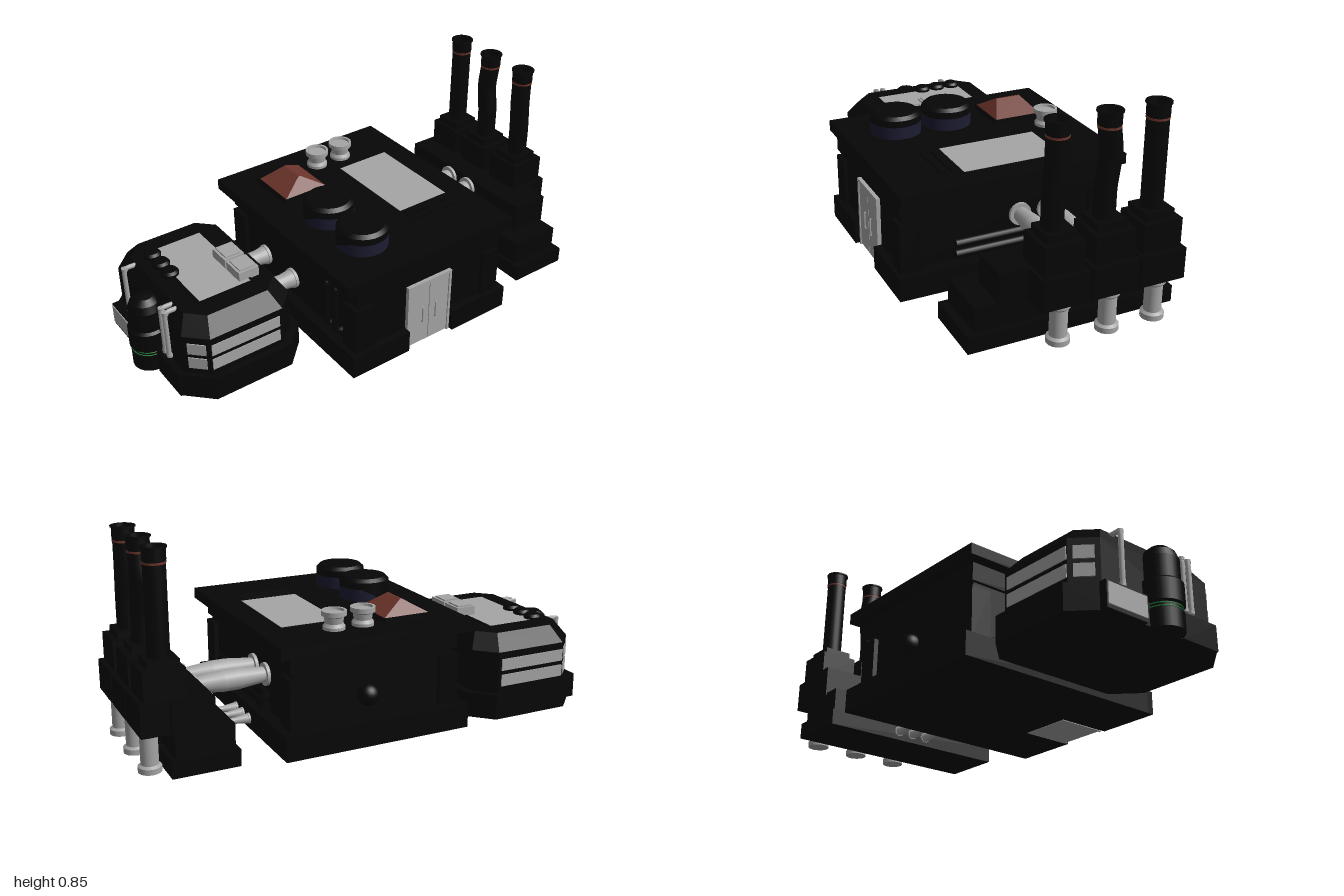
import * as THREE from 'three';

const mat = (name, color, side = THREE.FrontSide) => {
  const m = new THREE.MeshStandardMaterial({ color, side });
  m.name = name;
  return m;
};

export function createModel() {
  const black = mat('soot black', 0x060606);
  const grey = mat('light metal', 0xa5a5a5);
  const rust = mat('rust red', 0x6e352b);
  const navy = mat('dark navy', 0x1c1c32, THREE.DoubleSide);
  const green = mat('glow green', 0x1f8a3c);

  const root = new THREE.Group();
  const group = (name) => {
    const g = new THREE.Group();
    g.name = name;
    root.add(g);
    return g;
  };
  const add = (parent, name, geo, m, x = 0, y = 0, z = 0) => {
    const mesh = new THREE.Mesh(geo, m);
    mesh.name = name;
    mesh.position.set(x, y, z);
    parent.add(mesh);
    return mesh;
  };
  // Box given by its limits on each axis
  const box = (parent, name, m, x0, x1, y0, y1, z0, z1) =>
    add(parent, name, new THREE.BoxGeometry(x1 - x0, y1 - y0, z1 - z0), m, (x0 + x1) / 2, (y0 + y1) / 2, (z0 + z1) / 2);
  // Turned part: profile of [radius, height], creased at each point
  const lathe = (profile, n = 20) => {
    const pts = [];
    profile.forEach(([r, y], i) => {
      pts.push(new THREE.Vector2(r, y));
      if (i > 0 && i < profile.length - 1) pts.push(new THREE.Vector2(r, y));
    });
    return new THREE.LatheGeometry(pts, n);
  };
  const tube = (pts, r, n = 10) =>
    new THREE.TubeGeometry(new THREE.CatmullRomCurve3(pts.map((p) => new THREE.Vector3(...p)), false, 'catmullrom', 0.3), 24, r, n);
  // Chamfered prism with a scaled top
  const octagon = (parent, name, x0, x1, z0, z1, c, y0, y1, top = 1) => {
    const a = (x1 - x0) / 2, b = (z1 - z0) / 2;
    const s = new THREE.Shape([[a, c - b], [a, b - c], [a - c, b], [c - a, b], [-a, b - c], [-a, c - b], [c - a, -b], [a - c, -b]]
      .map((p) => new THREE.Vector2(...p)));
    const geo = new THREE.ExtrudeGeometry(s, { depth: y1 - y0, bevelEnabled: false });
    geo.rotateX(-Math.PI / 2);
    const p = geo.attributes.position;
    for (let i = 0; i < p.count; i++) {
      if (p.getY(i) > (y1 - y0) / 2) p.setXYZ(i, p.getX(i) * top, p.getY(i), p.getZ(i) * top);
    }
    geo.computeVertexNormals();
    return add(parent, name, geo, black, (x0 + x1) / 2, y0, (z0 + z1) / 2);
  };

  // Main hall, its foundation notched for the door
  const hall = group('main hall');
  box(hall, 'foundation', black, -0.49, 0.46, 0.006, 0.105, -0.47, 0.33);
  box(hall, 'foundation front flange', black, 0.46, 0.49, 0.006, 0.105, 0.047, 0.33);
  box(hall, 'foundation back flange', black, 0.46, 0.49, 0.006, 0.105, -0.47, -0.182);
  box(hall, 'walls', black, -0.425, 0.455, 0.1, 0.42, -0.415, 0.285);
  box(hall, 'upper band', black, -0.44, 0.47, 0.335, 0.42, -0.43, 0.3);
  box(hall, 'roof slab', black, -0.487, 0.485, 0.41, 0.455, -0.485, 0.35);
  for (const x of [-0.445, 0.383]) {
    for (const z of [-0.435, 0.22]) box(hall, 'corner pilaster', black, x, x + 0.09, 0.1, 0.31, z, z + 0.085);
  }
  add(hall, 'side dome', new THREE.SphereGeometry(0.045, 20, 14), black, -0.437, 0.2, -0.1);
  for (const x of [0.3, 0.36]) {
    add(hall, 'wall pipe', tube([[x, 0.375, 0.28], [x, 0.37, 0.32], [x, 0.27, 0.325], [x, 0.17, 0.325], [x, 0.15, 0.28]], 0.013), black);
  }
  for (const y of [0.15, 0.195]) {
    const bar = add(hall, 'rear pipe', new THREE.CylinderGeometry(0.018, 0.018, 0.5, 14), black, 0, y, -0.45);
    bar.rotation.z = Math.PI / 2;
  }

  // Double door on the left wall
  const door = group('double door');
  box(door, 'door block', grey, 0.25, 0.464, 0.003, 0.31, -0.18, 0.045);
  for (const z of [-0.18, 0.033]) box(door, 'frame post', grey, 0.46, 0.472, 0.003, 0.31, z, z + 0.012);
  box(door, 'lintel', grey, 0.46, 0.472, 0.296, 0.31, -0.18, 0.045);
  for (const z of [-0.118, -0.017]) box(door, 'door leaf', grey, 0.46, 0.468, 0.01, 0.292, z - 0.049, z + 0.049);
  for (const z of [-0.1, -0.033]) {
    add(door, 'handle', tube([[0.466, 0.185, z], [0.473, 0.18, z], [0.473, 0.115, z], [0.466, 0.11, z]], 0.004, 8), grey);
  }

  // Roof fittings
  const roof = group('roof fittings');
  box(roof, 'panel frame', black, -0.255, 0.19, 0.45, 0.457, -0.39, -0.125);
  box(roof, 'roof panel', grey, -0.245, 0.18, 0.452, 0.459, -0.38, -0.135);
  for (const x of [0.215, 0.26]) box(roof, 'roof rail', black, x - 0.01, x + 0.01, 0.45, 0.466, -0.36, -0.14);
  for (const z of [-0.2, -0.075]) {
    add(roof, 'roof vent', lathe([[0, 0], [0.045, 0], [0.045, 0.012], [0.036, 0.025], [0.04, 0.05], [0.05, 0.056], [0.05, 0.075], [0.04, 0.075], [0.038, 0.065], [0, 0.065]]), grey, -0.34, 0.455, z);
  }

  // Hipped skylight
  box(roof, 'skylight pad', black, -0.375, -0.145, 0.45, 0.473, 0.005, 0.22);
  const hip = new THREE.BoxGeometry(0.21, 0.058, 0.205).toNonIndexed();
  const hp = hip.attributes.position;
  for (let i = 0; i < hp.count; i++) {
    if (hp.getY(i) > 0) hp.setXYZ(i, Math.sign(hp.getX(i)) * 0.055, hp.getY(i), Math.sign(hp.getZ(i)) * 0.004);
  }
  hip.computeVertexNormals();
  add(roof, 'hipped skylight', hip, rust, -0.255, 0.5, 0.112);

  // Round roof tanks with a wavy navy skirt
  for (const x of [0.035, 0.265]) {
    add(roof, 'roof tank', lathe([[0, 0], [0.105, 0], [0.105, 0.083], [0.09, 0.097], [0, 0.097]], 32), black, x, 0.453, 0.125);
    const skirt = new THREE.CylinderGeometry(0.1062, 0.1062, 1, 48, 1, true, -0.42, 5.5);
    const sp = skirt.attributes.position;
    for (let i = 0; i < sp.count; i++) {
      const t = (i % 49) / 48;
      const h = 0.052 * Math.min(1, Math.sin(Math.PI * t) * 2);
      sp.setY(i, sp.getY(i) > 0 ? h : 0);
    }
    add(roof, 'tank skirt', skirt, navy, x, 0.456, 0.125);
  }

  // Front cabin
  const cabin = group('front cabin');
  octagon(cabin, 'cabin base', -0.475, 0.275, 0.38, 0.925, 0.1, 0.004, 0.11);
  octagon(cabin, 'cabin body', -0.45, 0.25, 0.42, 0.902, 0.08, 0.1, 0.285);
  octagon(cabin, 'cabin sloped roof', -0.45, 0.25, 0.42, 0.902, 0.08, 0.285, 0.35, 0.83);
  box(cabin, 'front step right', black, -0.39, -0.195, 0.004, 0.107, 0.85, 0.942);
  box(cabin, 'front step left', black, -0.005, 0.175, 0.004, 0.107, 0.85, 0.932);
  box(cabin, 'front plate', grey, -0.385, -0.2, 0.018, 0.099, 0.94, 0.946);
  box(cabin, 'cabin roof panel', grey, -0.31, 0.105, 0.348, 0.353, 0.55, 0.78);
  for (const x of [-0.318, 0.105]) box(cabin, 'panel rim side', black, x, x + 0.008, 0.345, 0.356, 0.542, 0.788);
  for (const z of [0.542, 0.78]) box(cabin, 'panel rim end', black, -0.318, 0.113, 0.345, 0.356, z, z + 0.008);
  for (const x of [-0.125, -0.015]) {
    box(cabin, 'roof unit', grey, x, x + 0.1, 0.35, 0.392, 0.5, 0.59);
    box(cabin, 'roof unit lid', grey, x + 0.01, x + 0.09, 0.39, 0.398, 0.51, 0.58);
  }
  box(cabin, 'roof unit bridge', grey, -0.03, -0.01, 0.35, 0.385, 0.505, 0.585);
  for (const x of [-0.28, -0.203, -0.127]) {
    add(cabin, 'roof drum', lathe([[0, 0], [0.037, 0], [0.037, 0.035], [0.028, 0.046], [0, 0.046]]), black, x, 0.328, 0.785);
  }

  // Cabin windows, in two rows on both sides and front corners
  for (const [y0, y1] of [[0.137, 0.187], [0.205, 0.255]]) {
    for (const s of [-1, 1]) {
      const x = -0.1 + s * 0.351;
      box(cabin, 'side window', grey, x - 0.003, x + 0.003, y0, y1, 0.515, 0.82);
      const w = add(cabin, 'corner window', new THREE.BoxGeometry(0.074, y1 - y0, 0.006), grey, -0.1 + s * 0.311, (y0 + y1) / 2, 0.863);
      w.rotation.y = s * Math.PI / 4;
    }
  }

  // Pipes climbing the cabin front
  for (const x of [-0.28, 0.035, 0.068]) {
    add(cabin, 'front pipe', tube([[x, 0.125, 0.913], [x, 0.22, 0.913], [x, 0.325, 0.913], [x, 0.338, 0.9], [x, 0.338, 0.87], [x, 0.338, 0.835]], 0.01), grey);
    for (const y of [0.13, 0.335]) add(cabin, 'pipe collar', new THREE.CylinderGeometry(0.013, 0.013, 0.014, 12), grey, x, y, 0.911);
  }

  // Upright tank at the cabin front
  const tank = group('front tank');
  add(tank, 'tank shell', lathe([[0, 0], [0.075, 0], [0.075, 0.07], [0.07, 0.07], [0.07, 0.092], [0.08, 0.098], [0.08, 0.18], [0.07, 0.19], [0.07, 0.275], [0.058, 0.305], [0.035, 0.325], [0, 0.33]], 28), black, -0.095, 0, 0.92);
  for (const y of [0.076, 0.088]) {
    const ring = add(tank, 'glowing ring', new THREE.TorusGeometry(0.071, 0.002, 6, 32), green, -0.095, y, 0.92);
    ring.rotation.x = Math.PI / 2;
  }

  // Horizontal flanged pipes joining the blocks: end and middle radii
  const links = group('connecting pipes');
  const link = (name, x, y, z0, z1, end, middle) => {
    const L = z1 - z0, f = Math.max(end, middle) * 1.1, e = 0.018;
    const geo = lathe([[0, 0], [f, 0], [f, e], [end, e], [middle, L * 0.4], [middle, L * 0.6], [end, L - e], [f, L - e], [f, L], [0, L]]);
    geo.rotateX(Math.PI / 2);
    add(links, name, geo, grey, x, y, z0);
  };
  for (const x of [-0.21, 0]) link('cabin link pipe', x, 0.19, 0.28, 0.43, 0.04, 0.034);
  for (const x of [-0.17, -0.045]) link('main duct', x, 0.25, -0.73, -0.41, 0.031, 0.043);
  for (const x of [-0.11, -0.04, 0.03]) link('low pipe', x, 0.05, -0.645, -0.46, 0.02, 0.013);

  // Rear furnace block
  const furnace = group('furnace block');
  box(furnace, 'furnace base', black, -0.45, 0.405, 0.012, 0.08, -0.9, -0.635);
  box(furnace, 'furnace body', black, -0.435, 0.37, 0.08, 0.18, -0.88, -0.65);
  box(furnace, 'furnace top', black, -0.44, 0.28, 0.17, 0.3, -0.89, -0.725);

  // Three chimneys, each with a stepped box, bent stack and drain foot
  const stacks = [[-0.33, 0, 0], [-0.132, -0.012, 0.003], [0.072, 0.001, 0.009]];
  for (const [x, mid, low] of stacks) {
    const c = group('chimney');
    const z = -0.895;
    box(c, 'chimney box', black, x - 0.093, x + 0.093, 0.175, 0.3, -1, -0.81);
    box(c, 'chimney step', black, x - 0.08, x + 0.08, 0.3, 0.415, -0.98, -0.82);
    box(c, 'chimney collar', black, x - 0.06, x + 0.06, 0.41, 0.445, -0.955, -0.835);
    add(c, 'stack', tube([[x + low, 0.43, z], [x + low, 0.56, z], [x + mid, 0.69, z], [x, 0.79, z], [x, 0.82, z]], 0.042, 20), black);
    add(c, 'stack cap', lathe([[0, 0], [0.044, 0], [0.044, 0.044], [0.049, 0.046], [0.049, 0.052], [0.038, 0.052], [0.036, 0.02], [0, 0.02]], 24), black, x, 0.798, z);
    add(c, 'stack band', new THREE.CylinderGeometry(0.0435, 0.0435, 0.008, 24), rust, x, 0.791, z);
    add(c, 'drain foot', lathe([[0, 0], [0.045, 0], [0.045, 0.022], [0.034, 0.03], [0.034, 0.14], [0.044, 0.15], [0.044, 0.18], [0, 0.18]]), grey, x, 0.008, -0.948);
  }

  return root;
}
